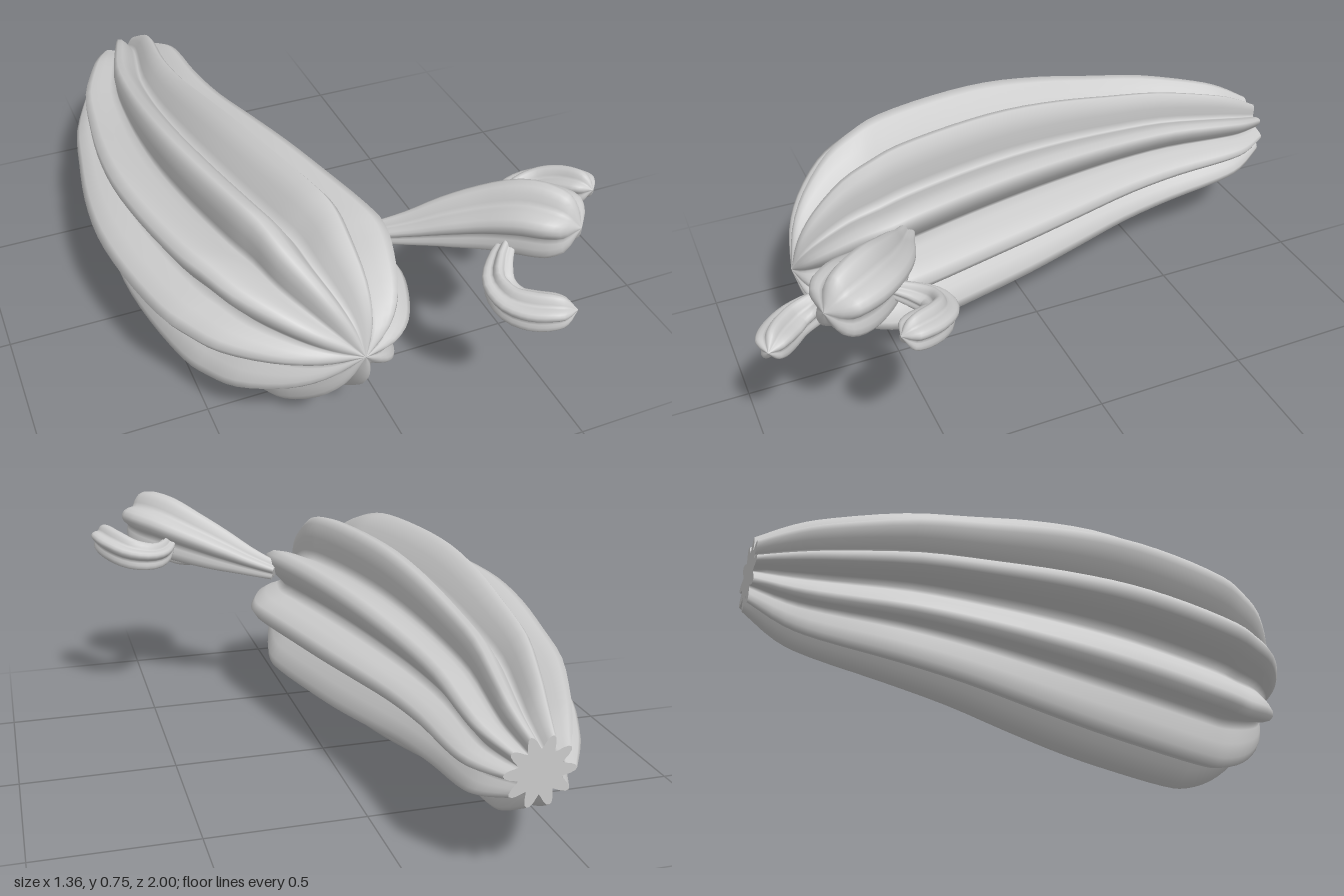
import * as THREE from 'three';

const material = new THREE.MeshStandardMaterial({ color: 0xcccccc });

// Ribbed body swept along rows of [x, y, z, radius]; axis fixes the section plane if given
function ribbedBody(name, rows, { ribs, valley, perRib = 8, steps = 3, phase = 0, axis = null }) {
  const path = new THREE.CatmullRomCurve3(
    rows.map(([x, y, z]) => new THREE.Vector3(x, y, z)), false, 'catmullrom');
  const radii = new THREE.CatmullRomCurve3(
    rows.map((row, i) => new THREE.Vector3(row[3], i, 0)), false, 'catmullrom');
  const around = ribs * perRib;
  const rings = (rows.length - 1) * steps;
  const up = new THREE.Vector3(0, 1, 0);
  const positions = [];
  const index = [];

  const addRing = (t) => {
    const center = path.getPoint(t);
    const radius = Math.max(0.001, radii.getPoint(t).x);
    const dir = axis || path.getTangent(t);
    const u = new THREE.Vector3().crossVectors(up, dir).normalize();
    const v = new THREE.Vector3().crossVectors(dir, u).normalize();
    for (let j = 0; j < around; j++) {
      const a = (j / around) * Math.PI * 2;
      const crest = Math.pow(0.5 + 0.5 * Math.cos(a * ribs), 0.8);
      const r = radius * (valley + (1 - valley) * crest);
      const p = center.clone()
        .addScaledVector(u, Math.cos(a + phase) * r)
        .addScaledVector(v, Math.sin(a + phase) * r);
      positions.push(p.x, p.y, p.z);
    }
  };

  for (let i = 0; i <= rings; i++) addRing(i / rings);
  for (let i = 0; i < rings; i++) {
    for (let j = 0; j < around; j++) {
      const k = (j + 1) % around;
      const a = i * around + j, b = i * around + k;
      index.push(a, b, a + around, b, b + around, a + around);
    }
  }

  // Flat star cap at the root, with its own vertices for a sharp edge
  const capStart = positions.length / 3;
  addRing(0);
  const root = path.getPoint(0);
  const middle = positions.length / 3;
  positions.push(root.x, root.y, root.z);
  for (let j = 0; j < around; j++) {
    index.push(middle, capStart + ((j + 1) % around), capStart + j);
  }

  const geometry = new THREE.BufferGeometry();
  geometry.setAttribute('position', new THREE.Float32BufferAttribute(positions, 3));
  geometry.setIndex(index);
  geometry.computeVertexNormals();
  const mesh = new THREE.Mesh(geometry, material);
  mesh.name = name;
  return mesh;
}

export function createModel() {
  const group = new THREE.Group();
  group.name = 'cactus';

  // Trunk: lies along z, cut flat at the back and domed at the front [x, z, radius]
  const trunk = [
    [-0.305, -1, 0.105], [-0.305, -0.9, 0.165], [-0.32, -0.8, 0.2],
    [-0.355, -0.6, 0.245], [-0.36, -0.4, 0.28], [-0.35, -0.2, 0.32],
    [-0.328, 0, 0.35], [-0.292, 0.2, 0.362], [-0.245, 0.4, 0.362],
    [-0.215, 0.5, 0.345], [-0.195, 0.6, 0.3], [-0.16, 0.7, 0.215],
    [-0.135, 0.76, 0.12], [-0.12, 0.79, 0],
  ].map(([x, z, r]) => [x, 0.345, z, r]);
  group.add(ribbedBody('trunk', trunk, {
    ribs: 10, valley: 0.62, axis: new THREE.Vector3(0, 0, 1),
  }));

  // Branch: thin where it leaves the trunk, swelling to a rounded tip
  const small = { ribs: 5, valley: 0.66, phase: Math.PI / 2 };
  group.add(ribbedBody('branch', [
    [0.05, 0.495, 0.465, 0.035], [0.14, 0.525, 0.515, 0.055],
    [0.23, 0.56, 0.565, 0.08], [0.32, 0.595, 0.625, 0.1],
    [0.4, 0.625, 0.695, 0.115], [0.455, 0.637, 0.76, 0.11],
    [0.485, 0.642, 0.805, 0.08], [0.5, 0.645, 0.83, 0],
  ], small));

  // Two curled side shoots near the end of the branch
  group.add(ribbedBody('backShoot', [
    [0.4, 0.59, 0.62, 0.025], [0.435, 0.57, 0.555, 0.04],
    [0.48, 0.565, 0.52, 0.048], [0.54, 0.575, 0.525, 0.054],
    [0.59, 0.595, 0.565, 0.058], [0.625, 0.612, 0.62, 0.055],
    [0.638, 0.62, 0.65, 0.04], [0.645, 0.623, 0.67, 0],
  ], small));
  group.add(ribbedBody('frontShoot', [
    [0.35, 0.56, 0.71, 0.025], [0.3, 0.52, 0.755, 0.04],
    [0.272, 0.49, 0.805, 0.05], [0.282, 0.475, 0.865, 0.056],
    [0.32, 0.475, 0.91, 0.06], [0.365, 0.485, 0.945, 0.055],
    [0.395, 0.49, 0.962, 0.04], [0.42, 0.495, 0.975, 0],
  ], small));

  return group;
}
